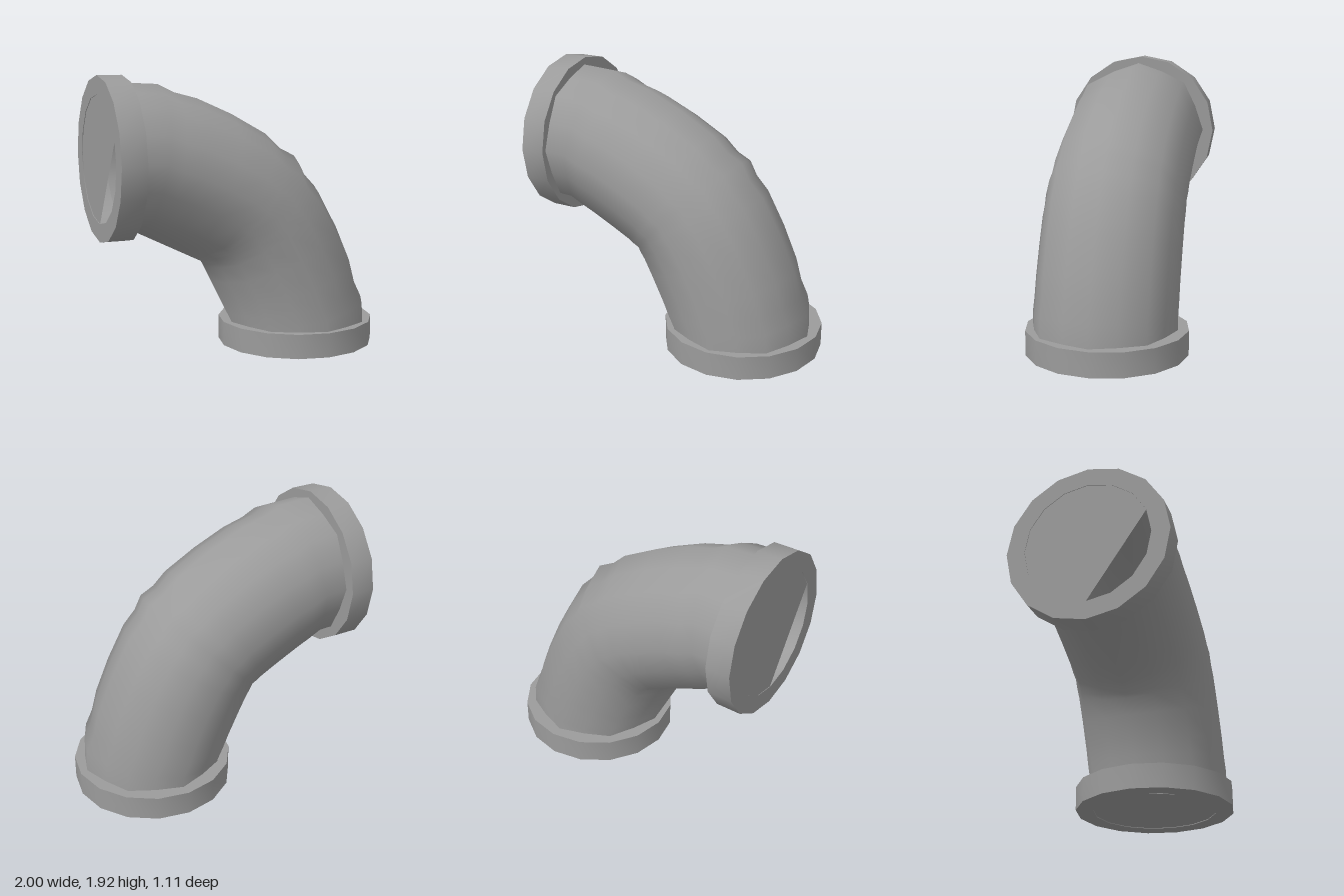
import * as THREE from 'three';
import { toCreasedNormals } from 'three/addons/utils/BufferGeometryUtils.js';

// Open pipe ends show the inside, so both faces are drawn
const material = new THREE.MeshStandardMaterial({ color: 0x9b9b9b, side: THREE.DoubleSide });
const SIDES = 16;

function part(name, geometry, parent) {
  const mesh = new THREE.Mesh(geometry, material);
  mesh.name = name;
  parent.add(mesh);
  return mesh;
}

// Cross-sections of half the elbow: inner x, y and outer x, y
const half = [
  [-0.9, 0.87, -0.9, 1.87],
  [-0.76, 0.865, -0.59, 1.855],
  [-0.68, 0.825, -0.48, 1.8],
  [-0.59, 0.78, -0.31, 1.755],
  [-0.44, 0.705, -0.06, 1.645],
  [-0.34, 0.655, 0.2, 1.5],
  [-0.315, 0.643, 0.31, 1.395],
  [-0.29, 0.63, 0.42, 1.34],
];

// The other half mirrors across the diagonal
const mirrored = half.slice(0, -1).reverse()
  .map(([ix, iy, ox, oy]) => [iy - 0.917, ix + 0.917, oy - 0.917, ox + 0.917]);

// Skin the sections with a slightly rounded octagon, shaded as a round pipe
function elbowGeometry() {
  const sections = [...half, ...mirrored];
  const positions = [], normals = [], index = [];
  sections.forEach(([ix, iy, ox, oy], i) => {
    const dx = ox - ix, dy = oy - iy, length = Math.hypot(dx, dy);
    for (let j = 0; j < SIDES; j++) {
      const a = (j / SIDES) * Math.PI * 2;
      const c = Math.cos(a), s = Math.sin(a);
      const r = j % 2 ? 0.475 : 0.5;
      positions.push(ix + dx * (0.5 + r * c), iy + dy * (0.5 + r * c), 0.02 + r * s);
      normals.push((c * dx) / length, (c * dy) / length, s);
      if (i < sections.length - 1) {
        const k = (j + 1) % SIDES, p = i * SIDES, q = p + SIDES;
        index.push(p + j, p + k, q + j, p + k, q + k, q + j);
      }
    }
  });
  const geometry = new THREE.BufferGeometry();
  geometry.setAttribute('position', new THREE.Float32BufferAttribute(positions, 3));
  geometry.setAttribute('normal', new THREE.Float32BufferAttribute(normals, 3));
  geometry.setIndex(index);
  return geometry;
}

// Collar ring facing down, with an end disc cut straight across the missing corners
function collar(name, firstMissing, lastMissing) {
  const group = new THREE.Group();
  group.name = name;
  const profile = [[0.43, 0], [0.555, 0], [0.555, 0.17], [0.43, 0.17], [0.43, 0]]
    .map(([x, y]) => new THREE.Vector2(x, y));
  part('collarRing', toCreasedNormals(new THREE.LatheGeometry(profile, SIDES), 0.7), group);

  const corners = [];
  for (let i = 0; i < SIDES; i++) {
    if (i >= firstMissing && i <= lastMissing) continue;
    const a = (i / SIDES) * Math.PI * 2;
    corners.push(new THREE.Vector2(0.43 * Math.cos(a), 0.43 * Math.sin(a)));
  }
  const disc = part('endDisc', new THREE.ShapeGeometry(new THREE.Shape(corners)), group);
  disc.rotation.x = Math.PI / 2;
  disc.position.y = 0.004;
  return group;
}

export function createModel() {
  const model = new THREE.Group();
  model.name = 'pipeElbow';
  part('elbowPipe', elbowGeometry(), model);

  const bottom = collar('bottomCollar', 7, 7);
  bottom.position.set(0.445, 0, 0);
  model.add(bottom);

  // Turned so its open side faces -x
  const side = collar('sideCollar', 1, 4);
  side.rotation.z = -Math.PI / 2;
  side.position.set(-1, 1.362, 0);
  model.add(side);
  return model;
}
